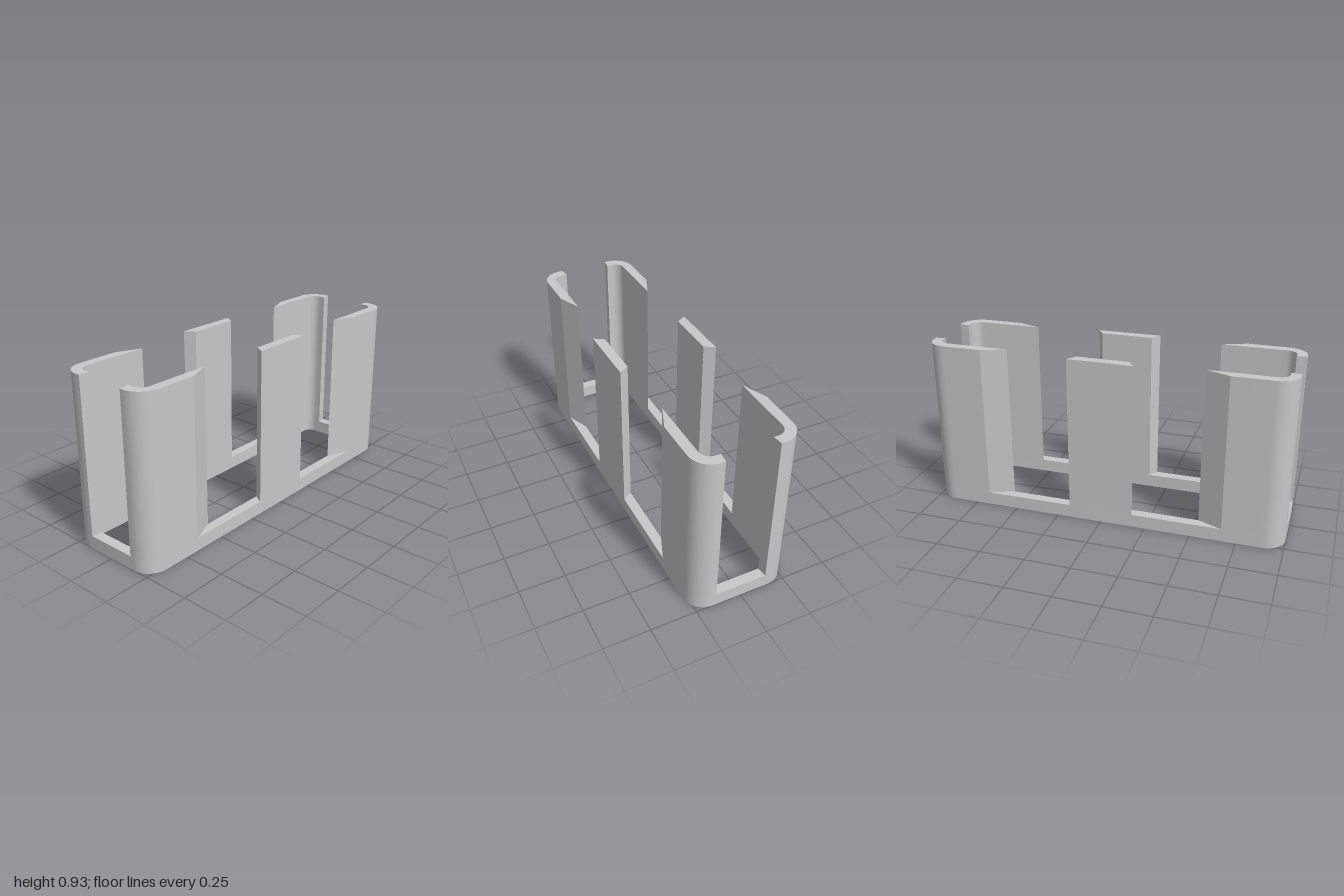
import * as THREE from 'three';
import { toCreasedNormals } from 'three/addons/utils/BufferGeometryUtils.js';

const HALF_W = 0.272, HALF_L = 1, WALL = 0.055;
const R_OUT = 0.11, R_IN = R_OUT - WALL;
const BASE_H = 0.073, TOP = 0.928;

const grey = new THREE.MeshStandardMaterial({ color: 0xc8c8c8 });
grey.name = 'grey';

// Quarter-round corner in the +x +z quadrant, from the long side to the short end
function cornerArc(radius, steps = 12) {
  const points = [];
  for (let i = 0; i <= steps; i++) {
    const a = (i / steps) * Math.PI / 2;
    points.push([HALF_W - R_OUT + radius * Math.cos(a), HALF_L - R_OUT + radius * Math.sin(a)]);
  }
  return points;
}

// Full rounded rectangle by mirroring one corner into all four quadrants
function ringOutline(radius) {
  const arc = cornerArc(radius), back = [...arc].reverse();
  return [
    ...arc,
    ...back.map(([x, z]) => [-x, z]),
    ...arc.map(([x, z]) => [-x, -z]),
    ...back.map(([x, z]) => [x, -z]),
  ];
}

// Raises a plan outline given as [x, z] from y0 to y1; a hole must wind opposite to its outline
function raise(name, outline, y0, y1, hole) {
  const toVectors = (list) => list.map(([x, z]) => new THREE.Vector2(x, -z));
  const shape = new THREE.Shape(toVectors(outline));
  if (hole) shape.holes.push(new THREE.Path(toVectors(hole)));
  const geometry = new THREE.ExtrudeGeometry(shape, { depth: y1 - y0, bevelEnabled: false });
  geometry.rotateX(-Math.PI / 2);
  geometry.translate(0, y0, 0);
  const mesh = new THREE.Mesh(toCreasedNormals(geometry, 0.25), grey);
  mesh.name = name;
  return mesh;
}

export function createModel() {
  const model = new THREE.Group();
  model.name = 'openHolder';

  // Low open ring at the bottom
  model.add(raise('baseRing', ringOutline(R_OUT).reverse(), 0, BASE_H, ringOutline(R_IN)));

  // Wrap-around corner posts with slanted edges towards the side openings
  const corner = [
    [HALF_W, 0.67], ...cornerArc(R_OUT), [0.141, HALF_L],
    [0.134, HALF_L - WALL], ...cornerArc(R_IN).reverse(), [HALF_W - WALL, 0.537],
  ];
  // Middle side panels, wider on the outside
  const panel = [
    [HALF_W, -0.18], [HALF_W, 0.18], [HALF_W - WALL, 0.145], [HALF_W - WALL, -0.145],
  ];

  for (const sx of [1, -1]) {
    const side = sx > 0 ? 'left' : 'right';
    model.add(raise(`${side}MiddlePanel`, panel.map(([x, z]) => [sx * x, z]), BASE_H, TOP));
    for (const sz of [1, -1]) {
      const end = sz > 0 ? 'Front' : 'Back';
      model.add(raise(`${side}${end}CornerPost`, corner.map(([x, z]) => [sx * x, sz * z]), BASE_H, TOP));
    }
  }
  return model;
}
